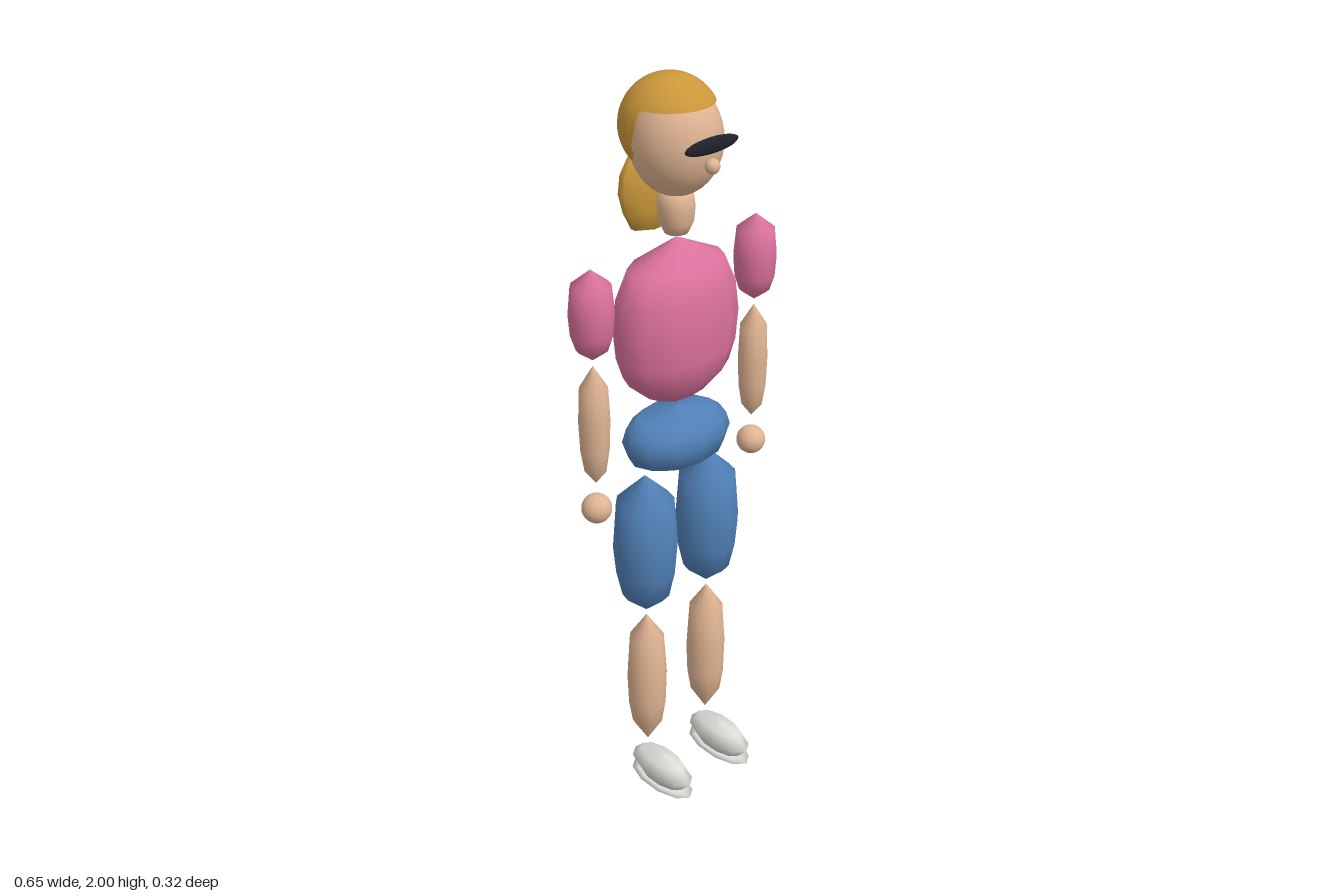
import * as THREE from 'three';

const mat = (name, color) => {
  const m = new THREE.MeshStandardMaterial({ color });
  m.name = name;
  return m;
};

const AXIS_Z = -0.017; // body axis

export function createModel() {
  const model = new THREE.Group();
  model.name = 'figure';
  const skin = mat('skin', 0xdfb492);
  const pink = mat('pinkShirt', 0xdb719c);
  const blue = mat('blueDenim', 0x5080b6);
  const blond = mat('blondHair', 0xca973a);
  const dark = mat('darkGlasses', 0x20222c);
  const white = mat('whiteShoes', 0xdcdcd8);
  blond.side = THREE.DoubleSide;

  const add = (name, geo, material, x, y, z) => {
    const mesh = new THREE.Mesh(geo, material);
    mesh.name = name;
    mesh.position.set(x, y, z);
    model.add(mesh);
    return mesh;
  };

  // Turned body part: profile of [radius, y] from bottom to top, flattened in z
  const turned = (name, profile, material, x = 0, depth = 1, z = AXIS_Z, sides = 12) => {
    const geo = new THREE.LatheGeometry(profile.map(p => new THREE.Vector2(...p)), sides);
    geo.scale(1, 1, depth);
    return add(name, geo, material, x, 0, z);
  };

  const ellipsoid = (name, material, [rx, ry, rz], [x, y, z], w = 24, h = 16) => {
    const geo = new THREE.SphereGeometry(1, w, h);
    geo.scale(rx, ry, rz);
    return add(name, geo, material, x, y, z);
  };

  // Head and face
  ellipsoid('head', skin, [0.114, 0.137, 0.115], [0, 1.845, AXIS_Z], 32, 20);
  ellipsoid('sunglasses', dark, [0.085, 0.02, 0.01], [0, 1.86, 0.106], 16, 10);
  ellipsoid('nose', skin, [0.019, 0.019, 0.018], [0, 1.81, 0.109], 16, 10);
  turned('neck', [[0, 1.608], [0.03, 1.612], [0.043, 1.64], [0.047, 1.68], [0.042, 1.715], [0, 1.745]], skin, 0, 1, AXIS_Z, 16);

  // Hair cap: short over the brow, long at the back
  const hair = new THREE.SphereGeometry(0.124, 48, 20, 0, Math.PI * 2, 0, 3);
  const pos = hair.attributes.position, uv = hair.attributes.uv, nor = hair.attributes.normal;
  const dir = new THREE.Vector3();
  for (let i = 0; i < pos.count; i++) {
    const phi = uv.getX(i) * Math.PI * 2;
    const fromFront = Math.acos(THREE.MathUtils.clamp(Math.sin(phi), -1, 1));
    const reach = THREE.MathUtils.lerp(1.08, 2.36, THREE.MathUtils.smoothstep(fromFront, 1.4, 1.72));
    const theta = (1 - uv.getY(i)) * reach;
    dir.set(-Math.cos(phi) * Math.sin(theta), Math.cos(theta), Math.sin(phi) * Math.sin(theta));
    nor.setXYZ(i, dir.x, dir.y, dir.z);
    pos.setXYZ(i, dir.x * 0.124, dir.y * 0.124, dir.z * 0.124);
  }
  add('hairCap', hair, blond, 0, 1.876, -0.039);
  turned('backHair', [[0, 1.595], [0.075, 1.612], [0.1, 1.66], [0.113, 1.71], [0.107, 1.755], [0.08, 1.8], [0, 1.815]],
    blond, 0, 0.34, -0.094, 10);

  // Trunk
  turned('torso', [[0, 1.15], [0.09, 1.187], [0.157, 1.245], [0.176, 1.3], [0.184, 1.38], [0.174, 1.46], [0.14, 1.535], [0, 1.6]],
    pink, 0, 0.62);
  turned('hips', [[0, 0.975], [0.085, 0.985], [0.142, 1.012], [0.16, 1.06], [0.148, 1.095], [0.115, 1.12], [0, 1.14]],
    blue, 0, 0.67);

  // Limbs
  for (const [side, s] of [['left', 1], ['right', -1]]) {
    const arm = 0.27 * s, leg = 0.109 * s;
    turned(side + 'UpperArm', [[0, 1.355], [0.04, 1.385], [0.053, 1.425], [0.057, 1.48], [0.05, 1.55], [0, 1.59]], pink, arm);
    turned(side + 'Forearm', [[0, 1.015], [0.028, 1.052], [0.037, 1.11], [0.04, 1.19], [0.036, 1.28], [0, 1.34]], skin, arm);
    ellipsoid(side + 'Hand', skin, [0.039, 0.039, 0.039], [arm, 0.942, AXIS_Z]);
    turned(side + 'Thigh', [[0, 0.56], [0.064, 0.617], [0.08, 0.69], [0.087, 0.77], [0.077, 0.9], [0, 0.975]], blue, leg);
    turned(side + 'Shin', [[0, 0.125], [0.042, 0.195], [0.052, 0.26], [0.055, 0.35], [0.047, 0.475], [0, 0.545]], skin, leg);
    turned(side + 'Shoe', [[0, 0.018], [0.036, 0.026], [0.05, 0.06], [0.036, 0.093], [0, 0.105]], white, leg, 2.28, 0.043, 10);
    turned(side + 'Sole', [[0, 0], [0.04, 0.006], [0.051, 0.018], [0.04, 0.023], [0, 0.026]], white, leg, 2.26, 0.043, 10);
  }
  return model;
}
